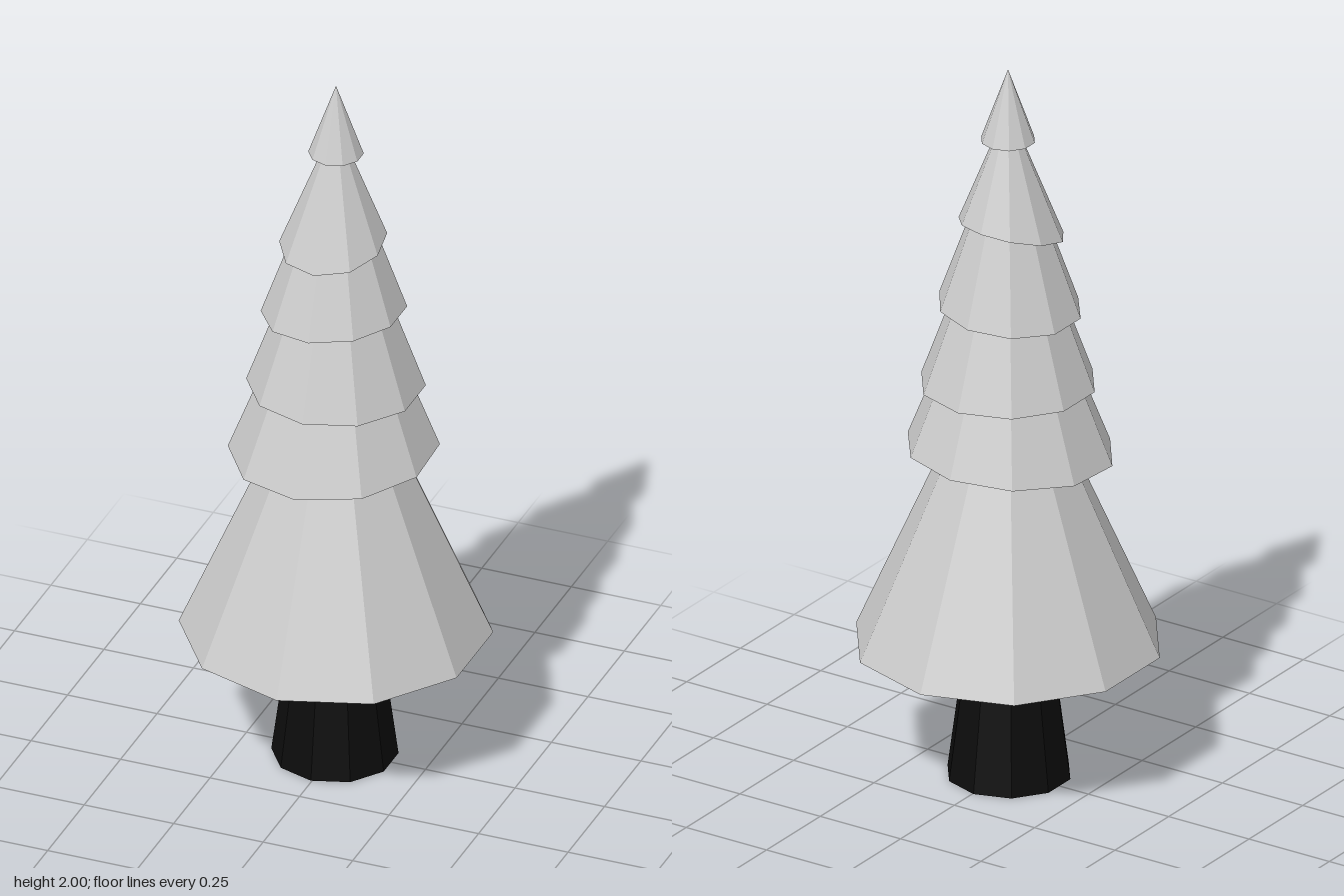
import * as THREE from 'three';

const SIDES = 10;

// Rim height, rim radius, cone height, and tilt of the rim along x and z
const TIERS = [
  { y: 0.375, r: 0.408, h: 0.93, tiltX: 0, tiltZ: 0 },
  { y: 0.92, r: 0.275, h: 0.70, tiltX: 0.04, tiltZ: -0.046 },
  { y: 1.11, r: 0.233, h: 0.64, tiltX: 0, tiltZ: 0 },
  { y: 1.33, r: 0.19, h: 0.53, tiltX: 0.083, tiltZ: 0 },
  { y: 1.545, r: 0.14, h: 0.35, tiltX: 0.06, tiltZ: -0.234 },
  { y: 1.8, r: 0.072, h: 0.2, tiltX: 0, tiltZ: 0 },
];

// Cone of foliage with a recessed underside, its rim cut along a tilted plane
function tierGeometry({ r, h, tiltX, tiltZ }) {
  const profile = [
    new THREE.Vector2(0, r * 0.3),
    new THREE.Vector2(r, 0),
    new THREE.Vector2(0, h),
  ];
  const geometry = new THREE.LatheGeometry(profile, SIDES);
  const pos = geometry.attributes.position;
  for (let i = 0; i < pos.count; i++) {
    const x = pos.getX(i), y = pos.getY(i), z = pos.getZ(i);
    if (Math.hypot(x, z) < r * 0.5) continue;
    // Slide the rim point along the cone's slope
    const dy = tiltX * x + tiltZ * z;
    const s = (h - dy) / h;
    pos.setXYZ(i, x * s, y + dy, z * s);
  }
  geometry.computeVertexNormals();
  return geometry;
}

export function createModel() {
  const tree = new THREE.Group();
  tree.name = 'tree';
  const foliageMaterial = new THREE.MeshStandardMaterial({ color: 0xcccccc, flatShading: true });
  const trunkMaterial = new THREE.MeshStandardMaterial({ color: 0x0c0c0c, flatShading: true });

  // Tapered trunk reaching up into the lowest tier
  const trunkHeight = 0.55;
  const trunk = new THREE.Mesh(
    new THREE.CylinderGeometry(0.092, 0.165, trunkHeight, SIDES), trunkMaterial);
  trunk.name = 'trunk';
  trunk.position.set(-0.003, trunkHeight / 2, 0);
  tree.add(trunk);

  // Stacked foliage tiers
  const foliage = new THREE.Group();
  foliage.name = 'foliage';
  TIERS.forEach((tier, i) => {
    const mesh = new THREE.Mesh(tierGeometry(tier), foliageMaterial);
    mesh.name = `foliageTier${i + 1}`;
    mesh.position.y = tier.y;
    foliage.add(mesh);
  });
  tree.add(foliage);
  return tree;
}
